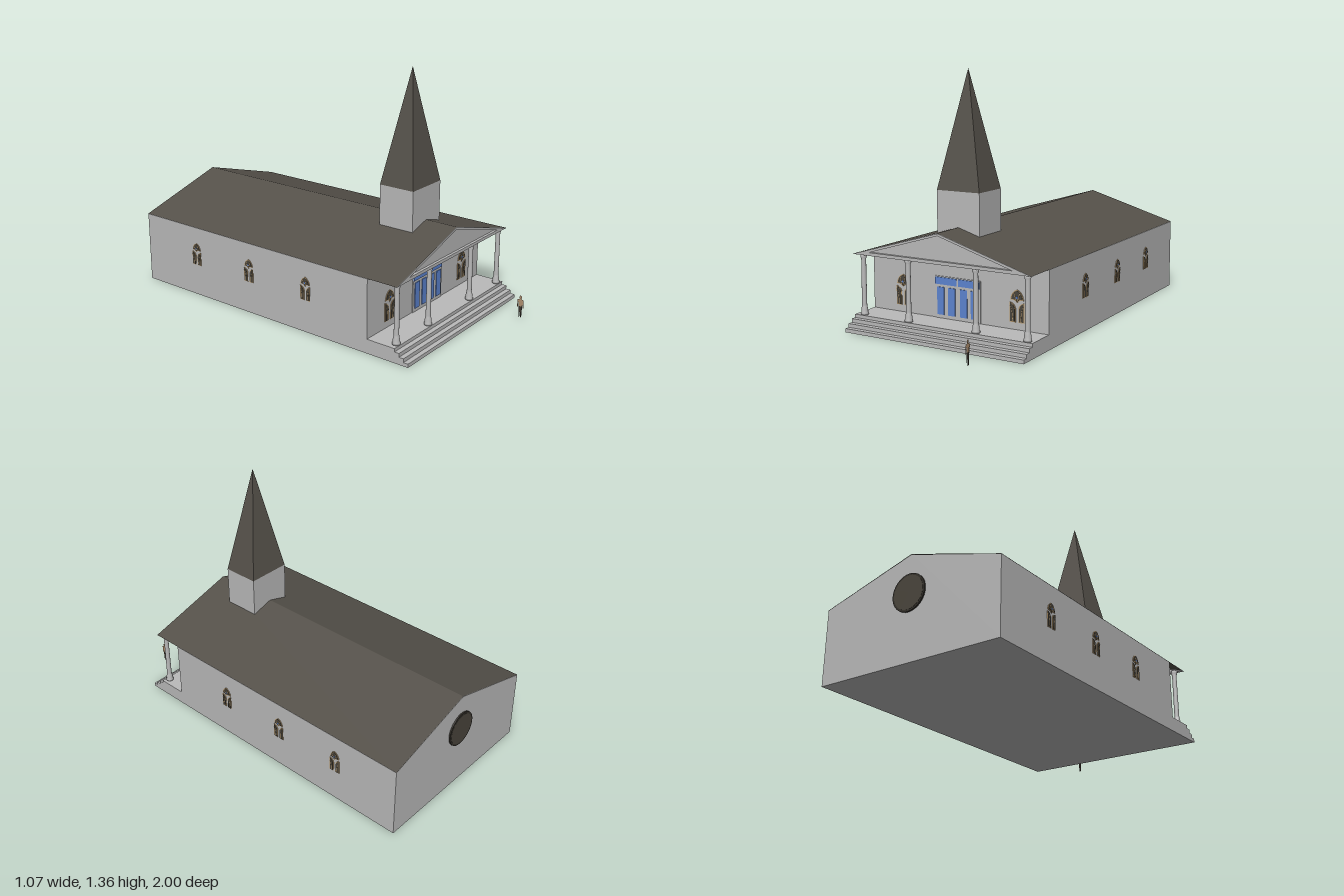
import * as THREE from 'three';

const mat = (name, color, extra = {}) =>
  Object.assign(new THREE.MeshStandardMaterial({ color, ...extra }), { name });

export function createModel() {
  const wall = mat('pale grey', 0xbababa);
  const roofing = mat('roof brown', 0x55514a, { side: THREE.DoubleSide });
  const blue = mat('door blue', 0x5c84d0);
  const trim = mat('window tan', 0xb89a6e);
  const glass = mat('dark glass', 0x4a453c);
  const rim = mat('dark rim', 0x35312b);
  const skin = mat('figure tan', 0xb09070, { side: THREE.DoubleSide });
  const cloth = mat('figure dark', 0x3a332c, { side: THREE.DoubleSide });

  const model = new THREE.Group();
  model.name = 'church';
  const W = 0.53, EAVE = 0.4, RIDGE = 0.556, BACK = -0.99, WALL = 0.585, FRONT = 0.76;

  const add = (name, geo, material, parent = model) => {
    const mesh = new THREE.Mesh(geo, material);
    mesh.name = name;
    parent.add(mesh);
    return mesh;
  };
  // box given by its limits
  const box = (name, material, x0, x1, y0, y1, z0, z1, parent) => {
    const m = add(name, new THREE.BoxGeometry(x1 - x0, y1 - y0, z1 - z0), material, parent);
    m.position.set((x0 + x1) / 2, (y0 + y1) / 2, (z0 + z1) / 2);
    return m;
  };
  const poly = (pts) => new THREE.Shape(pts.map(([x, y]) => new THREE.Vector2(x, y)));
  const plate = (shape, depth) =>
    new THREE.ExtrudeGeometry(shape, { depth, bevelEnabled: false, curveSegments: 10 });

  // hall
  const hall = poly([[-W, 0], [W, 0], [W, EAVE], [0, RIDGE - 0.002], [-W, EAVE]]);
  add('hall', plate(hall, WALL - BACK), wall).position.z = BACK;

  // roof: two sloping sheets covering hall and porch
  const slope = Math.atan2(RIDGE - EAVE, W);
  for (const s of [-1, 1]) {
    const sheet = new THREE.PlaneGeometry(Math.hypot(W, RIDGE - EAVE), FRONT - BACK);
    sheet.rotateX(-Math.PI / 2).rotateZ(-s * slope);
    add('roofSlope', sheet, roofing)
      .position.set(s * W / 2, (EAVE + RIDGE) / 2 + 0.001, (FRONT + BACK) / 2);
  }

  // pediment: recessed panel inside a raised border
  const outer = [[-W, EAVE], [W, EAVE], [0, RIDGE - 0.001]];
  const border = poly(outer);
  border.holes.push(poly([[-0.425, 0.417], [0, 0.543], [0.425, 0.417]]));
  add('pedimentBorder', plate(border, 0.015), wall).position.z = FRONT - 0.015;
  add('pedimentPanel', plate(poly(outer), 0.01), wall).position.z = FRONT - 0.025;

  // steeple
  box('tower', wall, -0.127, 0.127, 0.48, 0.74, 0.365, 0.573);
  const spire = new THREE.ConeGeometry(0.127 * Math.SQRT2, 0.615, 4).toNonIndexed();
  spire.rotateY(Math.PI / 4).scale(1, 1, 0.104 / 0.127);
  spire.computeVertexNormals();
  add('spire', spire, roofing).position.set(0, 1.0475, 0.469);

  // porch steps, the top one being the floor
  for (let i = 0; i < 4; i++)
    box('step', wall, -W, W, i * 0.02, (i + 1) * 0.02 - (i === 3 ? 0.002 : 0), WALL, 0.833 - i * 0.027);

  // columns
  const profile = [[0, 0.078], [0.021, 0.078], [0.021, 0.088], [0.018, 0.092], [0.018, 0.105],
    [0.0145, 0.122], [0.0135, 0.13], [0.0125, 0.375], [0.0165, 0.385], [0.0165, 0.402], [0, 0.402]]
    .map(([x, y]) => new THREE.Vector2(x, y));
  for (const x of [-0.483, -0.2, 0.203, 0.493])
    add('column', new THREE.LatheGeometry(profile, 20), wall).position.set(x, 0, 0.73);

  // entrance
  const entrance = new THREE.Group();
  entrance.name = 'entrance';
  model.add(entrance);
  box('doorFrame', wall, -0.133, 0.141, 0.078, 0.298, WALL, 0.59, entrance);
  for (const x of [-0.118, -0.051, 0.021, 0.086])
    box('doorPane', blue, x, x + 0.042, 0.097, 0.242, 0.588, 0.594, entrance);
  for (const [a, b] of [[-0.13, 0.0], [0.01, 0.137]])
    box('transomPane', blue, a, b, 0.256, 0.293, 0.588, 0.594, entrance);

  // window of unit width and height 2, facing +z
  const lowerPane = (s, g) => {
    const p = new THREE.Shape();
    p.moveTo(s * (0.5 - g), g);
    p.lineTo(s * (0.5 - g), 1.22 - g);
    p.quadraticCurveTo(s * (0.16 + g), 1.15 - g, s * (0.1 + g), 0.85 - g);
    p.lineTo(s * (0.1 + g), g);
    return p;
  };
  const headPane = (g) => {
    const p = new THREE.Shape();
    p.moveTo(0, 1.18 + g * 1.3);
    p.quadraticCurveTo(0.1, 1.38 + g, 0.46 - g * 1.6, 1.36 + g);
    p.quadraticCurveTo(0.4 - g, 1.85 - g, 0, 2 - g);
    p.quadraticCurveTo(-0.4 + g, 1.85 - g, -0.46 + g * 1.6, 1.36 + g);
    p.quadraticCurveTo(-0.1, 1.38 + g, 0, 1.18 + g * 1.3);
    return p;
  };
  const makeWindow = (scale, x, y, z, turn) => {
    const win = new THREE.Group();
    win.name = 'archedWindow';
    const layer = (name, shape, material, depth) =>
      add(name, plate(shape, depth / scale), material, win);
    for (const s of [-1, 1]) {
      layer('lowerFrame', lowerPane(s, 0), trim, 0.003);
      layer('lowerGlass', lowerPane(s, 0.05), glass, 0.005);
      // slender curved glazing bar
      const bar = new THREE.Shape();
      bar.moveTo(s * 0.26, 0.05);
      bar.lineTo(s * 0.3, 0.05);
      bar.quadraticCurveTo(s * 0.3, 0.7, s * 0.45, 1.02);
      bar.quadraticCurveTo(s * 0.26, 0.7, s * 0.26, 0.05);
      layer('lowerBar', bar, trim, 0.006);
      layer('headBar', poly([[s * 0.03, 1.33], [s * 0.07, 1.33], [s * 0.22, 1.78], [s * 0.18, 1.8]]), trim, 0.006);
    }
    layer('headFrame', headPane(0), trim, 0.003);
    layer('headGlass', headPane(0.05), glass, 0.005);
    const jewel = new THREE.Shape();
    jewel.absarc(0, 1.52, 0.07, 0, Math.PI * 2);
    layer('headJewel', jewel, blue, 0.007);
    win.scale.setScalar(scale);
    win.position.set(x, y, z);
    win.rotation.y = turn;
    model.add(win);
  };
  makeWindow(0.083, -0.339, 0.115, WALL, 0);
  makeWindow(0.083, 0.352, 0.115, WALL, 0);
  for (const z of [0.19, -0.205, -0.6])
    for (const s of [-1, 1]) makeWindow(0.064, s * W, 0.18, z, s * Math.PI / 2);

  // round window in the back gable
  const disc = (name, r, depth, material) =>
    add(name, new THREE.CylinderGeometry(r, r, depth, 32).rotateX(Math.PI / 2), material)
      .position.set(0, 0.352, BACK - depth / 2);
  disc('roundWindowRim', 0.098, 0.008, rim);
  disc('roundWindowGlass', 0.088, 0.009, glass);

  // flat standing figure in front of the steps
  const figure = new THREE.Group();
  figure.name = 'figure';
  const flat = (name, shape, material) =>
    add(name, new THREE.ShapeGeometry(shape, 8), material, figure);
  flat('legs', poly([[-0.011, 0.064], [-0.009, 0.004], [-0.006, 0], [-0.002, 0.002], [0, 0.045],
    [0.003, 0], [0.008, 0.002], [0.011, 0.064]]), cloth);
  flat('torso', poly([[-0.011, 0.064], [0.011, 0.064], [0.013, 0.09], [0.015, 0.055], [0.019, 0.057],
    [0.018, 0.1], [0.006, 0.107], [-0.006, 0.107], [-0.018, 0.1], [-0.019, 0.057], [-0.015, 0.055],
    [-0.013, 0.09]]), skin);
  const head = new THREE.Shape();
  head.absellipse(0, 0.116, 0.007, 0.01, 0, Math.PI * 2);
  flat('head', head, skin);
  figure.rotation.y = Math.PI / 2;
  figure.position.set(0.317, 0, 0.981);
  model.add(figure);

  return model;
}
